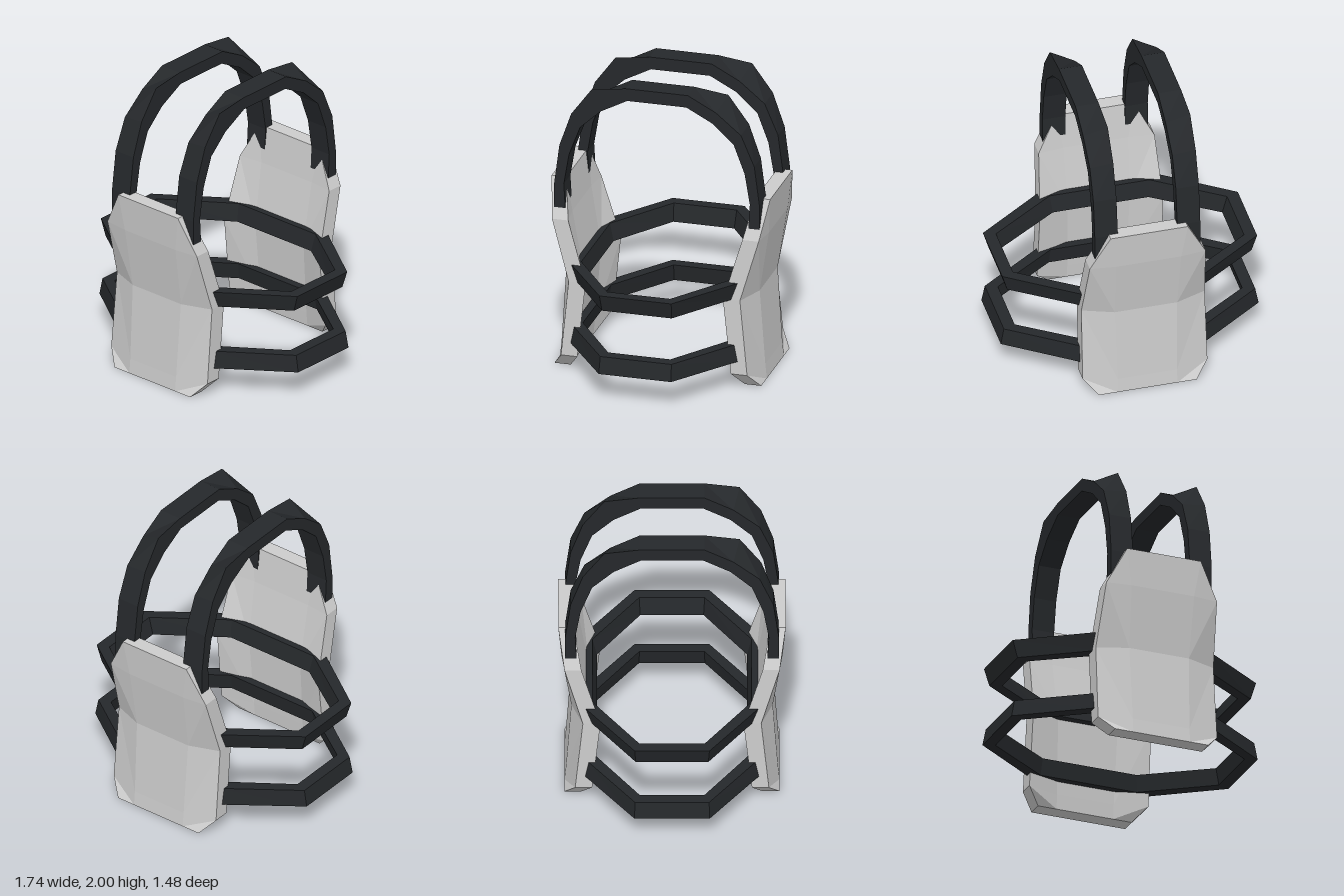
import * as THREE from 'three';

const plateMat = new THREE.MeshStandardMaterial({ color: 0xcccccc, flatShading: true });
const strapMat = new THREE.MeshStandardMaterial({ color: 0x25282b, flatShading: true });

// Skins a row of cross-sections; closed joins the last to the first, otherwise ends are capped.
// Sides listed in flip split their quads along the other diagonal.
function loft(rings, closed = false, flip = []) {
  const n = rings[0].length, m = rings.length, idx = [];
  for (let i = 0; i < (closed ? m : m - 1); i++) {
    for (let j = 0; j < n; j++) {
      const a = i * n + j, b = i * n + (j + 1) % n;
      const k = ((i + 1) % m) * n, d = k + j, c = k + (j + 1) % n;
      if (flip.includes(j)) idx.push(a, b, d, b, c, d);
      else idx.push(a, b, c, a, c, d);
    }
  }
  if (!closed) {
    const t = (m - 1) * n;
    for (let j = 1; j < n - 1; j++) idx.push(0, j + 1, j, t, t + j, t + j + 1);
  }
  const geo = new THREE.BufferGeometry();
  geo.setAttribute('position', new THREE.Float32BufferAttribute(rings.flat(2), 3));
  geo.setIndex(idx);
  const flat = geo.toNonIndexed();
  flat.computeVertexNormals();
  return flat;
}

function add(group, name, geo, mat) {
  const mesh = new THREE.Mesh(geo, mat);
  mesh.name = name;
  group.add(mesh);
  return mesh;
}

// Faceted armour plate, its sides wrapping inwards
function plateGeometry() {
  // y, half width at edge, half width of flat middle, z at middle, z at edge, thickness
  const rows = [
    [0, 0.33, 0.2, 0.7, 0.7, 0.11],
    [0.1, 0.42, 0.2, 0.69, 0.63, 0.11],
    [0.62, 0.415, 0.21, 0.655, 0.58, 0.115],
    [1.04, 0.39, 0.22, 0.72, 0.7, 0.11],
    [1.29, 0.26, 0.2, 0.74, 0.74, 0.1],
  ];
  return loft(rows.map(([y, e, c, zc, ze, t]) => [
    [-e, y, ze], [-c, y, zc], [c, y, zc], [e, y, ze],
    [e, y, ze - t], [c, y, zc - t], [-c, y, zc - t], [-e, y, ze - t],
  ]), false, [0, 4]);
}

// Shoulder strap arching from the front plate to the back plate
function shoulderGeometry(x0, x1) {
  // outer z, y at x0; outer z, y at x1; inner z, y
  const half = [
    [0.695, 1.11, 0.695, 1.11, 0.62, 1.11],
    [0.695, 1.28, 0.695, 1.28, 0.63, 1.28],
    [0.66, 1.55, 0.66, 1.55, 0.595, 1.49],
    [0.57, 1.76, 0.58, 1.78, 0.52, 1.69],
    [0.4, 1.9, 0.44, 1.97, 0.38, 1.82],
    [0.21, 2, 0.21, 2, 0.2, 1.915],
  ];
  const front = half.map(([za, ya, zb, yb, zi, yi]) =>
    [[x0, ya, za], [x1, yb, zb], [x1, yi, zi], [x0, yi, zi]]);
  // the rear half is the front half turned half way round
  const back = half.slice().reverse().map(([za, ya, zb, yb, zi, yi]) =>
    [[x0, yb, -zb], [x1, ya, -za], [x1, yi, -zi], [x0, yi, -zi]]);
  return loft([...front, ...back]);
}

// Eight-cornered side belt; inBottom and inTop tilt it by drawing an edge inwards
function beltGeometry(y0, y1, inBottom, inTop) {
  const quarter = [[0.4, 0.578, 0.34, 0.525], [0.868, 0.245, 0.788, 0.215]];
  const signs = [[1, 1, 0], [-1, 1, 0], [-1, 1, 1], [-1, -1, 1],
    [-1, -1, 0], [1, -1, 0], [1, -1, 1], [1, 1, 1]];
  return loft(signs.map(([sx, sz, k]) => {
    const [xo, zo, xi, zi] = quarter[k];
    const p = (x, z, y, d) => [
      sx * (x - (k ? d : d * 0.4)), y, sz * (z - (k ? d * 0.2 : d * 0.8))];
    return [p(xo, zo, y0, inBottom), p(xo, zo, y1, inTop),
      p(xi, zi, y1, inTop), p(xi, zi, y0, inBottom)];
  }), true);
}

export function createModel() {
  const model = new THREE.Group();
  model.name = 'plateVest';

  const plate = plateGeometry();
  add(model, 'frontPlate', plate, plateMat);
  add(model, 'backPlate', plate, plateMat).rotation.y = Math.PI;

  add(model, 'leftShoulderStrap', shoulderGeometry(0.2, 0.355), strapMat);
  add(model, 'rightShoulderStrap', shoulderGeometry(-0.355, -0.2), strapMat);

  add(model, 'upperBelt', beltGeometry(0.62, 0.737, 0.045, 0.01), strapMat);
  add(model, 'lowerBelt', beltGeometry(0.19, 0.305, 0, 0.022), strapMat);
  return model;
}
